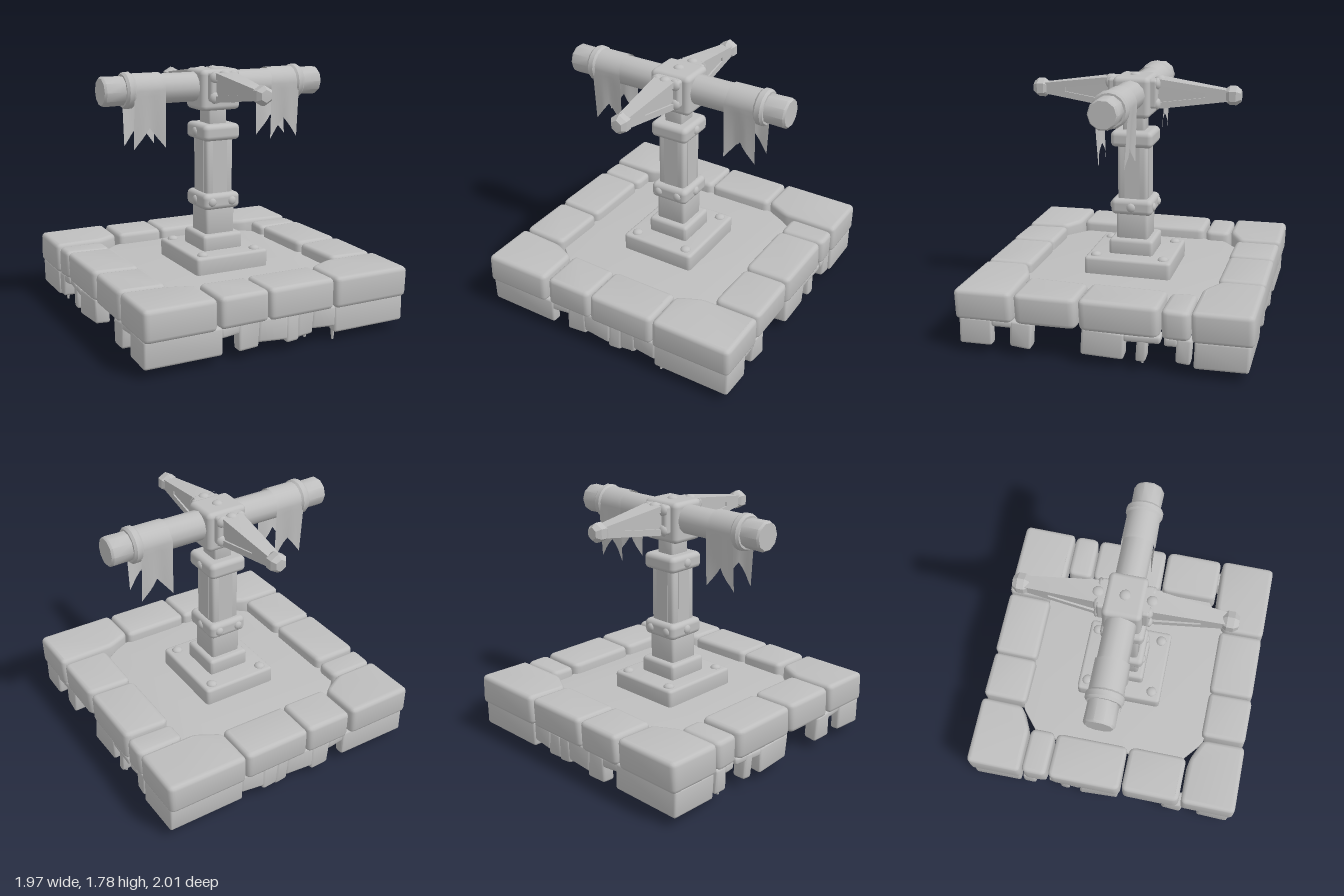
import * as THREE from 'three';
import { toCreasedNormals } from 'three/addons/utils/BufferGeometryUtils.js';
import { RoundedBoxGeometry } from 'three/addons/geometries/RoundedBoxGeometry.js';

const grey = new THREE.MeshStandardMaterial({ color: 0xbebebe });
grey.name = 'stone grey';
const clothGrey = grey.clone();
clothGrey.side = THREE.DoubleSide;
clothGrey.name = 'cloth grey';

function add(parent, name, geometry, x = 0, y = 0, z = 0) {
  const mesh = new THREE.Mesh(geometry, grey);
  mesh.name = name;
  mesh.position.set(x, y, z);
  parent.add(mesh);
}

// Move vertices by a rule fn(vector)
function warp(geometry, fn) {
  const p = geometry.attributes.position, v = new THREE.Vector3();
  for (let i = 0; i < p.count; i++) {
    fn(v.fromBufferAttribute(p, i));
    p.setXYZ(i, v.x, v.y, v.z);
  }
  geometry.computeVertexNormals();
  return geometry;
}

// Polygon outline with rounded corners
function roundedShape(pts, r) {
  const v = pts.map(p => new THREE.Vector2(p[0], -p[1]));
  const shape = new THREE.Shape();
  v.forEach((c, i) => {
    const toward = q => c.clone().add(q.clone().sub(c).setLength(r));
    const a = toward(v[(i + v.length - 1) % v.length]), b = toward(v[(i + 1) % v.length]);
    if (i) shape.lineTo(a.x, a.y); else shape.moveTo(a.x, a.y);
    shape.quadraticCurveTo(c.x, c.y, b.x, b.y);
  });
  shape.closePath();
  return shape;
}

// Bevelled block standing on an x,z outline, slightly uneven when wobble > 0
function block(pts, y0, y1, r = 0.04, bevel = 0.03, wobble = 0) {
  const g = new THREE.ExtrudeGeometry(roundedShape(pts, r), {
    depth: y1 - y0 - 2 * bevel, bevelSize: bevel, bevelThickness: bevel,
    bevelOffset: -bevel, bevelSegments: 3, curveSegments: 4,
  });
  g.rotateX(-Math.PI / 2).translate(0, y0 + bevel, 0);
  if (wobble) warp(g, v => v.set(
    v.x + wobble * Math.sin(v.z * 17 + v.y * 9),
    v.y + wobble * Math.sin(v.x * 13 + v.z * 11),
    v.z + wobble * Math.sin(v.x * 15 + v.y * 12)));
  return toCreasedNormals(g, 0.6);
}
const rect = (x0, x1, z0, z1) => [[x0, z0], [x1, z0], [x1, z1], [x0, z1]];
const profile = pts => pts.map(([a, b]) => new THREE.Vector2(a, b));

function rivet(parent, x, y, z, axis = 'y', sign = 1, r = 0.036) {
  const g = new THREE.SphereGeometry(r, 10, 4, 0, Math.PI * 2, 0, Math.PI / 2).scale(1, 0.65, 1);
  if (axis === 'z') g.rotateX(sign * Math.PI / 2);
  if (axis === 'x') g.rotateZ(-sign * Math.PI / 2);
  add(parent, 'rivet', g, x, y, z);
}

function buildBase() {
  const base = new THREE.Group();
  base.name = 'stoneBase';
  // Floor sunk below the tops of the surrounding stones
  add(base, 'floorSlab', block([[-0.67, -0.53], [-0.48, -0.69], [0.45, -0.69], [0.67, -0.53],
    [0.67, 0.53], [0.45, 0.69], [-0.48, 0.69], [-0.67, 0.53]], 0.315, 0.37, 0.03, 0.005));
  add(base, 'floorUnderPlate', new THREE.BoxGeometry(0.56, 0.02, 0.6), 0, 0.318, 0);

  // Upper ring: corner stones with cut inner corners, then the stones between
  for (const sx of [-1, 1]) {
    const inner = sx < 0 ? 0.48 : 0.4;
    for (const sz of [-1, 1]) {
      const mirrored = pts => pts.map(([x, z]) => [x * sx, z * sz]);
      add(base, 'cornerStone', block(mirrored([[0.98, 1], [inner, 1], [inner, 0.69], [inner + 0.17, 0.605], [0.98, 0.6]]),
        0.24, 0.452, 0.04, 0.03, 0.003));
      // Thin L-shaped wall hanging below each corner stone
      const endX = sx < 0 ? 0.43 : 0.41, endZ = sz < 0 ? 0.62 : 0.74, t = 0.9;
      add(base, 'cornerWall', block(mirrored([[0.97, 0.975], [endX, 0.975], [endX, t], [t, t], [t, endZ], [0.97, endZ]]),
        0.065, 0.255, 0.02, 0.018, 0.003));
    }
    for (const [z0, z1] of [[-0.59, -0.405], [-0.39, 0.145], [0.16, 0.585]]) {
      const x0 = sx < 0 ? -0.975 : 0.64;
      add(base, 'sideStone', block(rect(x0, x0 + 0.335, z0, z1), 0.24, z1 < -0.4 ? 0.44 : 0.45, 0.05, 0.03, 0.003));
    }
  }
  for (const sz of [-1, 1]) {
    const z0 = sz < 0 ? -0.995 : 0.67;
    for (const [x0, x1] of [[-0.455, -0.11], [-0.1, 0.39]])
      add(base, 'edgeStone', block(rect(x0, x1, z0, z0 + 0.325), 0.24, 0.45, 0.04, 0.03, 0.003));
  }

  // Lower ring: broken wall pieces at uneven depths [start, end, bottom]
  const rows = [[-0.44, -0.3, 0.18], [-0.31, -0.16, 0.06], [-0.17, 0.05, 0.09],
    [0.04, 0.14, 0.065], [0.13, 0.25, 0.08], [0.24, 0.42, 0.11]];
  const sides = [[-0.6, -0.5, 0.08], [-0.51, -0.42, 0.19], [-0.31, -0.24, 0.07], [-0.4, -0.15, 0.2],
    [-0.16, 0.13, 0.07], [0.47, 0.62, 0.07], [0.6, 0.75, 0.2]];
  for (const s of [-1, 1]) {
    const span = (a, b) => s < 0 ? [-b, -a] : [a, b];
    for (const [a, b, y] of rows)
      add(base, 'brokenWall', block(rect(a, b, ...span(0.88, 0.97)), y, 0.255, 0.02, 0.018, 0.006));
    for (const [a, b, y] of sides)
      add(base, 'brokenWall', block(rect(...span(0.86, 0.965), a, b), y, 0.255, 0.02, 0.018, 0.006));
  }
  // Thin hanging shards
  for (const [x, z, y] of [[0.43, 0.92, 0], [0.93, -0.28, 0.05], [-0.93, -0.54, 0.05], [0.2, 0.93, 0.06]])
    add(base, 'shard', new THREE.CylinderGeometry(0.03, 0.008, 0.25 - y, 6), x, (0.25 + y) / 2, z);
  return base;
}

function buildPost() {
  const post = new THREE.Group();
  post.name = 'post';
  add(post, 'footPlate', block(rect(-0.28, 0.28, -0.315, 0.31), 0.35, 0.49, 0.03, 0.02));
  for (const x of [-0.205, 0.205]) for (const z of [-0.25, 0.24]) rivet(post, x, 0.487, z, 'y', 1, 0.04);
  add(post, 'footBlock', block(rect(-0.155, 0.155, -0.16, 0.16), 0.47, 0.6, 0.025, 0.025));
  // Shaft with a slightly raised plank on each face
  add(post, 'lowerShaft', block(rect(-0.113, 0.113, -0.116, 0.116), 0.59, 0.8, 0.025, 0.004));
  add(post, 'shaft', block(rect(-0.104, 0.104, -0.107, 0.107), 0.78, 1.3, 0.025, 0.004));
  add(post, 'shaftPlank', new THREE.BoxGeometry(0.11, 0.5, 0.22), 0, 1.04, 0);
  add(post, 'shaftPlank', new THREE.BoxGeometry(0.214, 0.5, 0.11), 0, 1.04, 0);
  add(post, 'neck', block(rect(-0.07, 0.07, -0.08, 0.08), 1.36, 1.52, 0.02, 0.004));
  for (const y of [0.835, 1.325]) {
    add(post, 'collar', new RoundedBoxGeometry(0.285, 0.115, 0.3, 3, 0.035), 0, y, 0);
    for (const s of [-1, 1]) {
      rivet(post, s * 0.138, y, 0, 'x', s, 0.034);
      if (y < 1) for (const x of [-0.08, 0.075]) rivet(post, x, y, s * 0.146, 'z', s, 0.032);
    }
  }
  return post;
}

// Tapered spike along +z with a sunken triangular panel on each side
function buildSpike() {
  const spike = new THREE.Group();
  spike.name = 'spike';
  const taper = (shape, half) => {
    const g = new THREE.ExtrudeGeometry(shape, { depth: 2, bevelEnabled: false });
    g.translate(0, 0, -1).rotateY(-Math.PI / 2);
    return toCreasedNormals(warp(g, v => { v.x *= half * (1 - 0.9 * (v.z - 0.12)); }), 0.4);
  };
  const frame = new THREE.Shape(profile([[0.1, -0.1], [0.2, -0.1], [0.66, -0.037], [0.66, 0.037], [0.2, 0.1], [0.1, 0.1]]));
  frame.holes.push(new THREE.Path(profile([[0.17, -0.06], [0.17, 0.06], [0.5, 0.015], [0.5, -0.015]])));
  add(spike, 'spikeFrame', taper(frame, 0.082));
  add(spike, 'spikeCore', taper(new THREE.Shape(profile([[0.12, -0.07], [0.55, -0.02], [0.55, 0.02], [0.12, 0.07]])), 0.066));
  add(spike, 'spikeFoot', new RoundedBoxGeometry(0.21, 0.2, 0.06, 2, 0.02), 0, 0, 0.145);
  for (const x of [-0.07, 0.07]) for (const y of [-0.07, 0.07]) rivet(spike, x, y, 0.168, 'z', 1, 0.042);
  rivet(spike, 0, 0.09, 0.175, 'y', 1, 0.04);
  // Faceted knob with a blunt end
  const knob = new THREE.LatheGeometry(profile([[0, 0.63], [0.045, 0.632], [0.067, 0.662], [0.067, 0.708], [0.042, 0.74], [0, 0.742]]), 6);
  add(spike, 'spikeKnob', toCreasedNormals(knob.rotateX(Math.PI / 2), 0.4));
  return spike;
}

// Cloth draped over the beam, with a notched hem at both ends
function buildBanner(sign) {
  const g = new THREE.PlaneGeometry(1, 1, 8, 32);
  const r = 0.113;
  warp(g, v => {
    const u = v.x, t = v.y * 2, side = Math.sign(t) || 1;
    const notch = 0.145 * (1 - Math.abs(u) * 2);
    const along = Math.abs(t);
    const x = sign * (0.527 + u * (along > 0.4 ? 0.23 : 0.215));
    if (along <= 0.5) {
      const a = along * Math.PI;
      v.set(x, 1.64 + r * Math.cos(a), side * r * Math.sin(a));
    } else {
      const k = (along - 0.5) * 2;
      v.set(x, 1.64 - k * (0.395 - notch), side * (r - 0.02 * k + 0.008 * k * Math.sin(u * 9)));
    }
  });
  const mesh = new THREE.Mesh(g, clothGrey);
  mesh.name = 'banner';
  return mesh;
}

function buildHead() {
  const head = new THREE.Group();
  head.name = 'crossHead';
  const beam = new THREE.CylinderGeometry(0.103, 0.103, 1.3, 12).rotateZ(Math.PI / 2);
  add(head, 'hubBlock', new RoundedBoxGeometry(0.305, 0.285, 0.26, 3, 0.035), 0, 1.62, 0);
  rivet(head, 0, 1.755, 0, 'y', 1, 0.04);
  add(head, 'beam', toCreasedNormals(beam, 0.6), 0, 1.64, 0);
  for (const s of [-1, 1]) {
    const ring = new THREE.LatheGeometry(profile([[0.09, -0.035], [0.112, -0.035], [0.125, -0.018],
      [0.125, 0.018], [0.112, 0.035], [0.09, 0.035]]), 16).rotateZ(Math.PI / 2);
    add(head, 'beamRing', toCreasedNormals(ring, 0.6), s * 0.655, 1.64, 0);
    const cap = new THREE.LatheGeometry(profile([[0.1, 0], [0.103, 0.145], [0.092, 0.16], [0, 0.16]]), 10)
      .rotateZ(-s * Math.PI / 2);
    add(head, 'beamEnd', toCreasedNormals(cap, 0.7), s * 0.682, 1.64, 0);
    const spike = buildSpike();
    spike.position.y = 1.645;
    if (s < 0) spike.rotation.y = Math.PI;
    head.add(spike, buildBanner(s));
  }
  return head;
}

export function createModel() {
  const model = new THREE.Group();
  model.name = 'signPostOnStoneBase';
  model.add(buildBase(), buildPost(), buildHead());
  return model;
}
